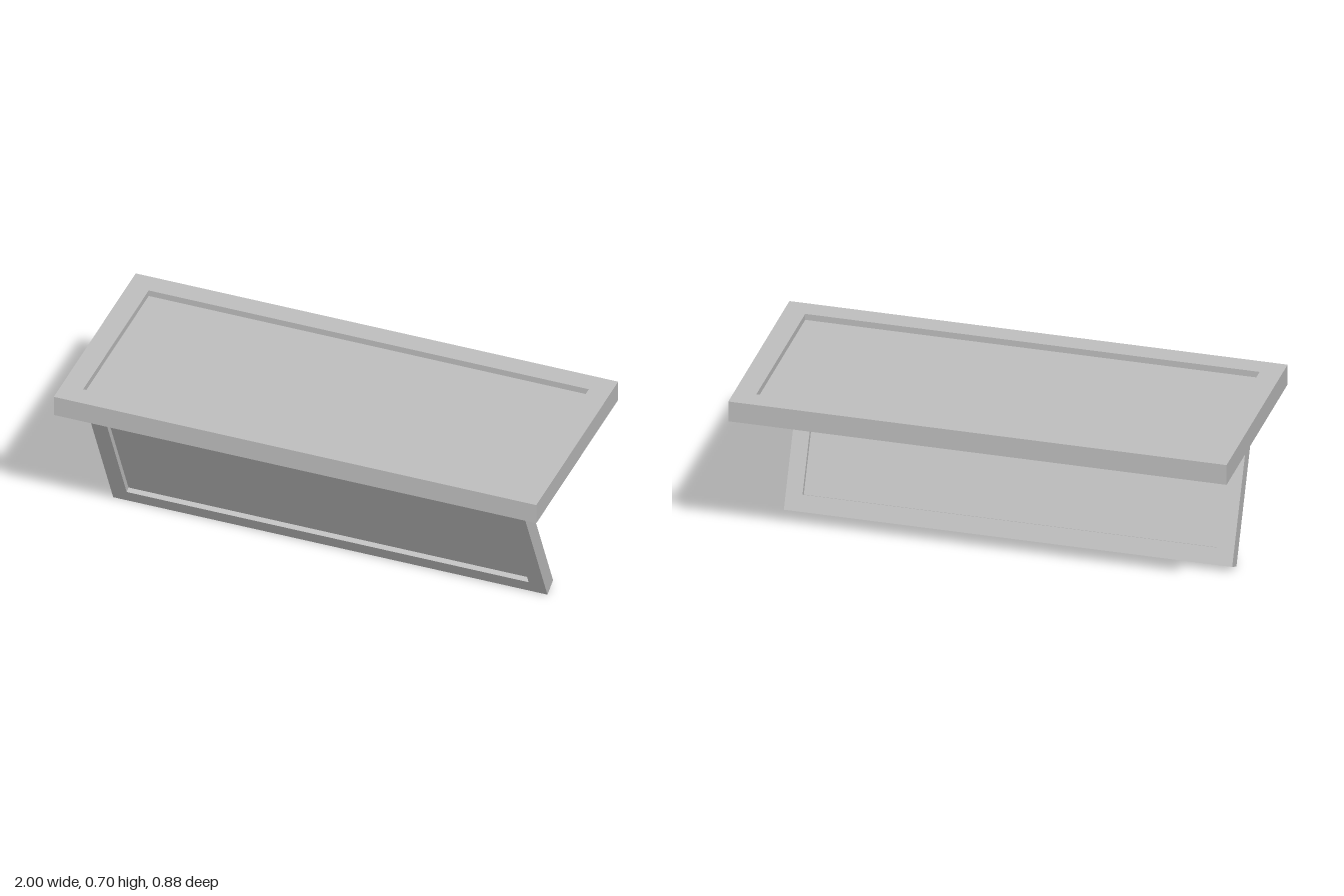
import * as THREE from 'three';

const grey = new THREE.MeshStandardMaterial({ color: 0xc0c0c0 });
grey.name = 'plain grey';

// Rectangular frame with a thinner panel recessed on both sides, centred on the origin
function framedPanel(name, width, height, depth, border, recess) {
  const group = new THREE.Group();
  group.name = name;
  const w = width / 2, h = height / 2;
  const iw = w - border, ih = h - border;

  const outline = new THREE.Shape();
  outline.moveTo(-w, -h).lineTo(w, -h).lineTo(w, h).lineTo(-w, h).closePath();
  const opening = new THREE.Path();
  opening.moveTo(-iw, -ih).lineTo(-iw, ih).lineTo(iw, ih).lineTo(iw, -ih).closePath();
  outline.holes.push(opening);

  const frameGeometry = new THREE.ExtrudeGeometry(outline, { depth, bevelEnabled: false });
  frameGeometry.translate(0, 0, -depth / 2);
  const frame = new THREE.Mesh(frameGeometry, grey);
  frame.name = name + 'Frame';

  const panel = new THREE.Mesh(
    new THREE.BoxGeometry(iw * 2, ih * 2, depth - recess * 2), grey);
  panel.name = name + 'Panel';

  group.add(frame, panel);
  return group;
}

export function createModel() {
  const model = new THREE.Group();
  model.name = 'slantedTable';

  // Horizontal top
  const top = framedPanel('top', 2, 0.88, 0.086, 0.088, 0.026);
  top.rotation.x = -Math.PI / 2;
  top.position.y = 0.661;
  model.add(top);

  // Leaning support, pivoted on its lower front edge
  const length = 0.685, thickness = 0.067;
  const support = framedPanel('support', 1.8, length, thickness, 0.067, 0.021);
  support.position.set(0, length / 2, -thickness / 2);
  const lean = new THREE.Group();
  lean.name = 'leaningSupport';
  lean.add(support);
  lean.rotation.x = THREE.MathUtils.degToRad(25);
  lean.position.z = 0.061;
  model.add(lean);

  return model;
}
